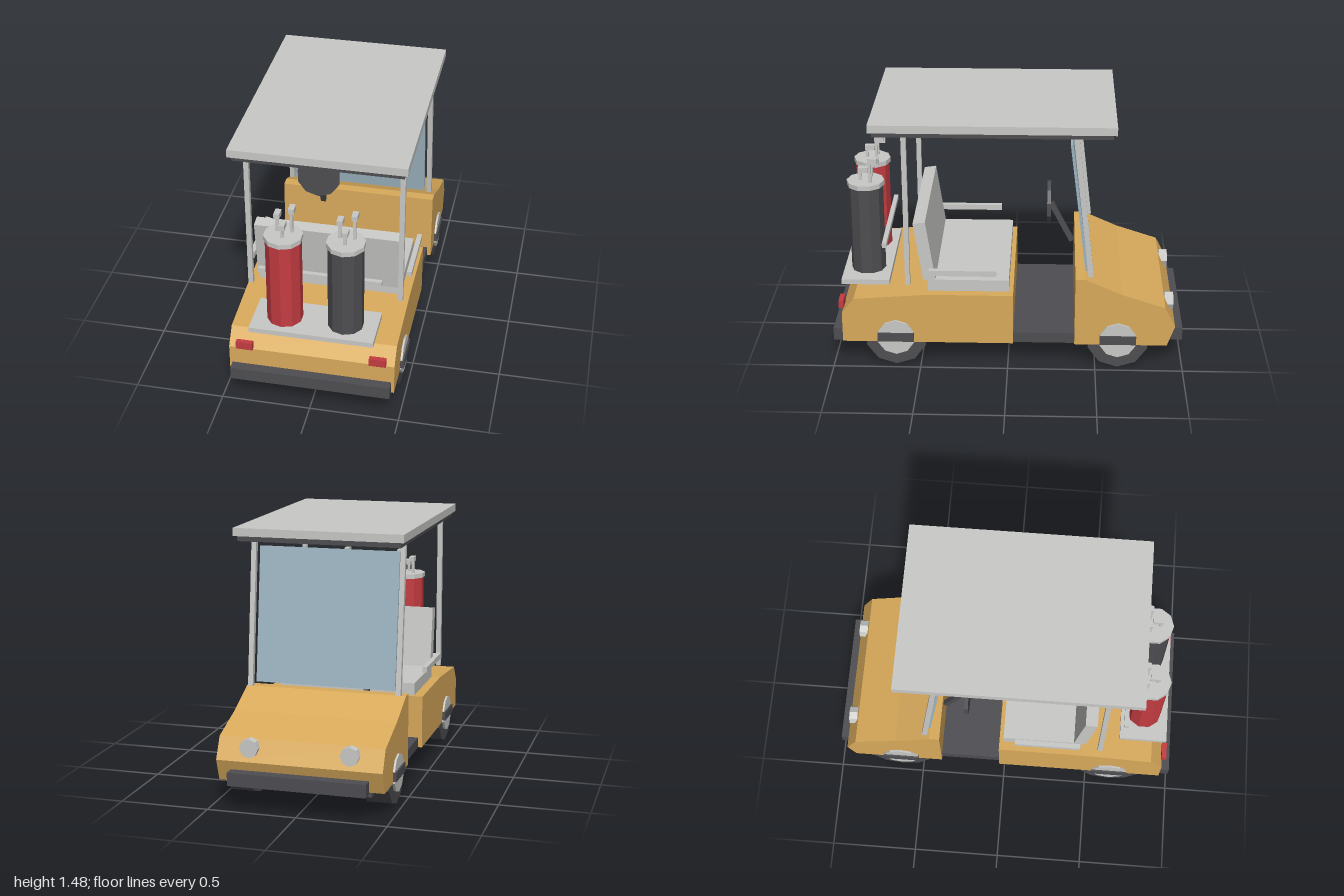
import * as THREE from 'three';

const paint = (name, color) => {
  const m = new THREE.MeshStandardMaterial({ color, flatShading: true });
  m.name = name;
  return m;
};

export function createModel() {
  const cart = new THREE.Group();
  cart.name = 'golfCart';

  const ochre = paint('ochre body', 0xd9aa5b);
  const grey = paint('light grey', 0xc9c9c7);
  const dark = paint('dark grey', 0x4e4e52);
  const red = paint('red', 0xc43c41);
  const glass = paint('glass blue', 0x9db5c1);

  const add = (name, geo, mat, x = 0, y = 0, z = 0, parent = cart) => {
    const mesh = new THREE.Mesh(geo, mat);
    mesh.name = name;
    mesh.position.set(x, y, z);
    parent.add(mesh);
    return mesh;
  };

  // Box from its extents along each axis
  const box = (name, mat, [x0, x1], [y0, y1], [z0, z1], parent = cart) =>
    add(name, new THREE.BoxGeometry(x1 - x0, y1 - y0, z1 - z0), mat,
      (x0 + x1) / 2, (y0 + y1) / 2, (z0 + z1) / 2, parent);

  // Bar running between two points of the side plane, given as [z, y]
  const bar = (name, mat, x, [z0, y0], [z1, y1], width, depth) => {
    const length = Math.hypot(z1 - z0, y1 - y0);
    const mesh = add(name, new THREE.BoxGeometry(width, length, depth), mat,
      x, (y0 + y1) / 2, (z0 + z1) / 2);
    mesh.rotation.x = Math.atan2(z1 - z0, y1 - y0);
    return mesh;
  };

  // Side profile of [z, y] points extruded across the width
  const hull = (name, profile, halfWidth) => {
    const shape = new THREE.Shape(profile.map(([z, y]) => new THREE.Vector2(-z, y)));
    const geo = new THREE.ExtrudeGeometry(shape, { depth: halfWidth * 2, bevelEnabled: false });
    geo.translate(0, 0, -halfWidth).rotateY(Math.PI / 2);
    return add(name, geo, ochre);
  };

  // Bodywork
  hull('rearBody', [[-0.03, 0.145], [-0.03, 0.45], [0.455, 0.45], [0.875, 0.417],
    [0.945, 0.325], [0.945, 0.145]], 0.463);
  hull('frontCowl', [[-0.38, 0.145], [-0.38, 0.557], [-0.44, 0.557], [-0.645, 0.466],
    [-0.89, 0.386], [-0.95, 0.268], [-0.907, 0.145]], 0.463);

  // Chassis, floor and bumpers
  box('chassis', dark, [-0.386, 0.386], [0.11, 0.146], [-0.88, 0.895]);
  box('floor', dark, [-0.44, 0.44], [0.143, 0.203], [-0.4, -0.01]);
  box('rearBumper', dark, [-0.447, 0.447], [0.143, 0.217], [0.94, 1]);
  box('frontBumper', dark, [-0.385, 0.385], [0.143, 0.217], [-1, -0.935]);

  // Roof
  box('roof', grey, [-0.48, 0.48], [1.43, 1.475], [-0.59, 0.755]);
  box('roofLining', dark, [-0.46, 0.46], [1.4, 1.43], [-0.57, 0.735]);

  // Windscreen and seat
  bar('windscreen', glass, 0, [-0.443, 0.585], [-0.348, 1.346], 0.805, 0.015);
  box('seatCushion', grey, [-0.41, 0.41], [0.45, 0.52], [-0.005, 0.455]);
  bar('seatBack', grey, 0, [0.445, 0.518], [0.497, 0.87], 0.82, 0.07);

  // Steering wheel and column
  const steering = add('steeringWheel', new THREE.CylinderGeometry(0.132, 0.132, 0.022, 10), dark, -0.21, 0.735, -0.226);
  steering.rotation.x = Math.PI / 2;
  bar('steeringColumn', dark, -0.21, [-0.365, 0.485], [-0.24, 0.728], 0.03, 0.03);

  // Parts mirrored on both sides
  for (const s of [-1, 1]) {
    const side = s < 0 ? 'right' : 'left';
    const span = (a, b) => (s > 0 ? [a, b] : [-b, -a]);

    box(side + 'RearPost', grey, span(0.414, 0.442), [0.5, 1.405], [0.552, 0.58]);
    bar(side + 'FrontPost', grey, s * 0.428, [-0.468, 0.565], [-0.371, 1.405], 0.028, 0.03);
    box(side + 'Armrest', grey, span(0.44, 0.468), [0.572, 0.605], [0.065, 0.445]);
    box(side + 'TailLight', red, span(0.325, 0.418), [0.333, 0.379], [0.94, 0.968]);

    const lamp = add(side + 'Headlight', new THREE.CylinderGeometry(0.053, 0.053, 0.05, 8), grey, s * 0.28, 0.342, -0.92);
    lamp.rotation.x = Math.PI / 2;

    // Wheels with hub and cross bar
    for (const [end, z] of [['Rear', 0.64], ['Front', -0.627]]) {
      const wheel = new THREE.Group();
      wheel.name = side + end + 'Wheel';
      wheel.position.set(s * 0.39, 0.178, z);
      const disc = (name, r, w, mat, x) => {
        const geo = new THREE.CylinderGeometry(r, r, w, 10, 1, false, Math.PI / 2);
        add(name, geo.rotateZ(Math.PI / 2), mat, x, 0, 0, wheel);
      };
      disc('tyre', 0.178, 0.14, dark, 0);
      disc('hub', 0.108, 0.04, grey, s * 0.064);
      box('hubBar', dark, span(0.07, 0.094), [-0.022, 0.03], [-0.104, 0.104], wheel);
      cart.add(wheel);
    }
  }

  // Bag platform and strap bar
  box('bagPlatform', grey, [-0.345, 0.345], [0.45, 0.48], [0.68, 0.955]);
  box('strapBar', grey, [-0.345, 0.345], [0.684, 0.71], [0.69, 0.716]);

  // Golf bags with clubs
  for (const [name, x, mat] of [['redBag', -0.171, red], ['darkBag', 0.169, dark]]) {
    const bag = new THREE.Group();
    bag.name = name;
    bag.position.set(x, 0, 0.816);
    add('bagTube', new THREE.CylinderGeometry(0.099, 0.099, 0.52, 10), mat, 0, 0.74, 0, bag);
    add('bagRim', new THREE.CylinderGeometry(0.107, 0.107, 0.028, 10), grey, 0, 1.014, 0, bag);
    for (const [dx, dz, top] of [[-0.04, -0.03, 1.135], [0, 0.03, 1.105], [0.04, -0.03, 1.175]]) {
      box('clubShaft', grey, [dx - 0.008, dx + 0.008], [1.0, top - 0.01], [dz - 0.008, dz + 0.008], bag);
      box('clubHead', grey, [dx - 0.016, dx + 0.016], [top - 0.03, top], [dz - 0.045, dz + 0.01], bag);
    }
    cart.add(bag);
  }

  return cart;
}
